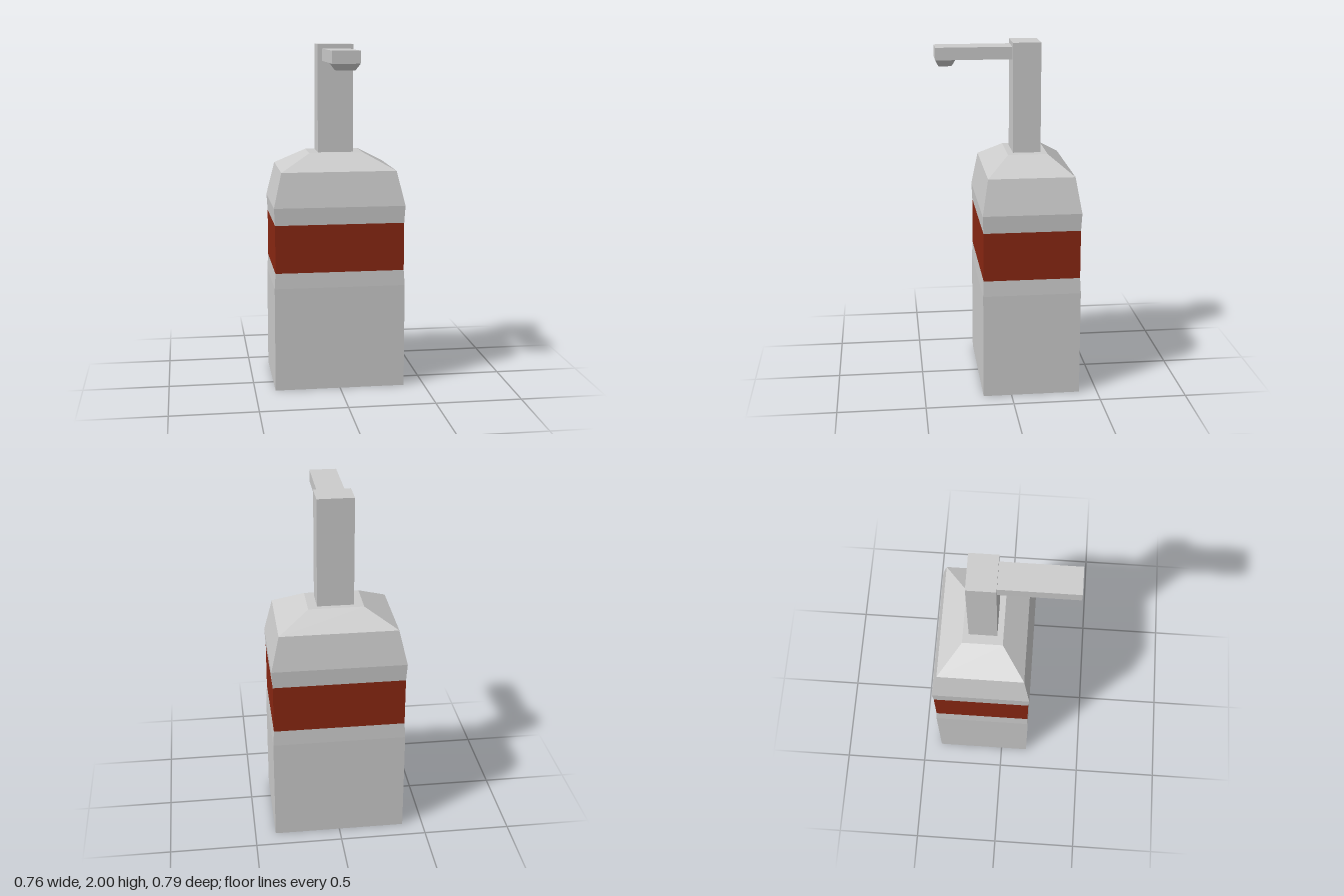
import * as THREE from 'three';

// Stack of rectangular sections [y, halfWidth, zBack, zFront], faceted, optionally capped
function loftBox(sections, capBottom, capTop) {
  const pos = [], idx = [];
  for (const [y, w, zb, zf] of sections) pos.push(-w, y, zf, w, y, zf, w, y, zb, -w, y, zb);
  for (let s = 0; s < sections.length - 1; s++) {
    for (let i = 0; i < 4; i++) {
      const a = s * 4 + i, b = s * 4 + (i + 1) % 4;
      idx.push(a, b, b + 4, a, b + 4, a + 4);
    }
  }
  const t = (sections.length - 1) * 4;
  if (capBottom) idx.push(0, 2, 1, 0, 3, 2);
  if (capTop) idx.push(t, t + 1, t + 2, t, t + 2, t + 3);
  const indexed = new THREE.BufferGeometry();
  indexed.setAttribute('position', new THREE.Float32BufferAttribute(pos, 3));
  indexed.setIndex(idx);
  const g = indexed.toNonIndexed();
  g.computeVertexNormals();
  return g;
}

export function createModel() {
  const group = new THREE.Group();
  const grey = new THREE.MeshStandardMaterial({ color: 0xcccccc });
  grey.name = 'light grey plastic';
  const red = new THREE.MeshStandardMaterial({ color: 0x8a2712 });
  red.name = 'brick red label';

  const add = (name, geometry, material) => {
    const mesh = new THREE.Mesh(geometry, material);
    mesh.name = name;
    group.add(mesh);
  };

  // Bottle: lower body, slightly recessed label band, sloped shoulders
  const bandLow = [0.70, 0.375, -0.391, 0.158];
  const bandHigh = [0.98, 0.375, -0.391, 0.158];
  add('lowerBody', loftBox([
    [0, 0.381, -0.396, 0.162],
    [0.61, 0.381, -0.396, 0.162],
    bandLow,
  ], true, false), grey);
  add('labelBand', loftBox([bandLow, bandHigh], false, false), red);
  add('shoulders', loftBox([
    bandHigh,
    [1.08, 0.381, -0.396, 0.162],
    [1.28, 0.334, -0.362, 0.127],
    [1.375, 0.157, -0.23, -0.004],
  ], false, true), grey);

  // Pump: upright post, spout arm and tapered nozzle
  add('pumpPost', loftBox([
    [1.37, 0.104, -0.197, -0.038],
    [2.0, 0.104, -0.197, -0.038],
  ], true, true), grey);
  add('spout', loftBox([
    [1.905, 0.078, -0.045, 0.395],
    [1.975, 0.078, -0.045, 0.395],
  ], true, true), grey);
  add('nozzle', loftBox([
    [1.868, 0.052, 0.303, 0.376],
    [1.905, 0.078, 0.284, 0.395],
  ], true, false), grey);

  return group;
}
